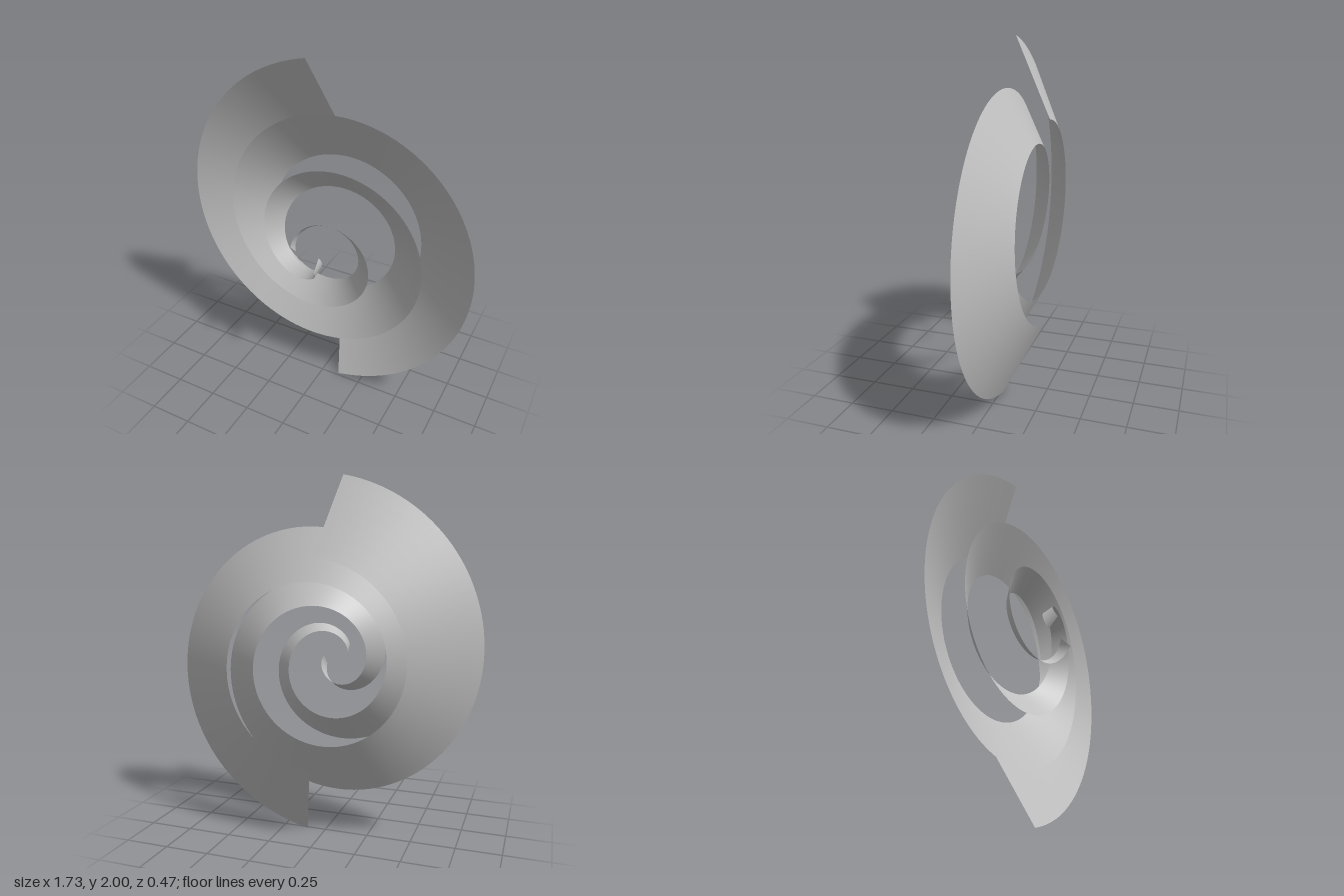
import * as THREE from 'three';

const rad = THREE.MathUtils.degToRad;

// Spiral edge: rows of [angle in degrees, radius, z], smoothly interpolated
function spiralEdge(rows) {
  const values = rows.flatMap(([, r, z]) => [r, z]);
  const curve = new THREE.CubicInterpolant(rows.map((row) => row[0]), values, 2, new Float32Array(2));
  return (angle) => {
    const [r, z] = curve.evaluate(angle);
    return [r * Math.cos(rad(angle)), r * Math.sin(rad(angle)), z];
  };
}

const outerEdge = spiralEdge([
  [-84, 1.005, -0.015], [-6, 0.87, -0.028], [84, 0.737, -0.02], [172, 0.597, 0.0],
  [260, 0.458, 0.042], [346, 0.332, 0.09], [420, 0.22, 0.145], [460, 0.155, 0.18], [499, 0.093, 0.235],
]);
const innerEdge = spiralEdge([
  [-89, 0.57, -0.235], [0, 0.505, -0.208], [90, 0.44, -0.178], [180, 0.38, -0.13],
  [270, 0.305, -0.06], [350, 0.233, 0.022], [425, 0.167, 0.09], [480, 0.115, 0.135], [540, 0.07, 0.178],
]);

// Ribbon lofted between the two edges; the inner edge runs ahead near the tip
function ribbonGeometry(steps = 240, across = 6) {
  const positions = [];
  const index = [];
  for (let i = 0; i <= steps; i++) {
    const s = i / steps;
    const angle = -84 + 583 * s;
    const outer = outerEdge(angle);
    const inner = innerEdge(angle - 5 + 46 * s ** 8);
    for (let j = 0; j <= across; j++) {
      const t = j / across;
      positions.push(...outer.map((v, k) => v + (inner[k] - v) * t));
      if (i < steps && j < across) {
        const a = i * (across + 1) + j;
        const b = a + across + 1;
        index.push(a, b, a + 1, b, b + 1, a + 1);
      }
    }
  }
  const geometry = new THREE.BufferGeometry();
  geometry.setAttribute('position', new THREE.Float32BufferAttribute(positions, 3));
  geometry.setIndex(index);
  geometry.computeVertexNormals();
  return geometry;
}

export function createModel() {
  const group = new THREE.Group();
  group.name = 'doubleSpiral';
  const grey = new THREE.MeshStandardMaterial({ color: 0xc0c0c0, side: THREE.DoubleSide });
  grey.name = 'light grey';

  // Two identical ribbons, half a turn apart
  const geometry = ribbonGeometry();
  ['lowerSpiralRibbon', 'upperSpiralRibbon'].forEach((name, i) => {
    const ribbon = new THREE.Mesh(geometry, grey);
    ribbon.name = name;
    ribbon.position.y = 1;
    ribbon.rotation.z = i * Math.PI;
    group.add(ribbon);
  });
  return group;
}
